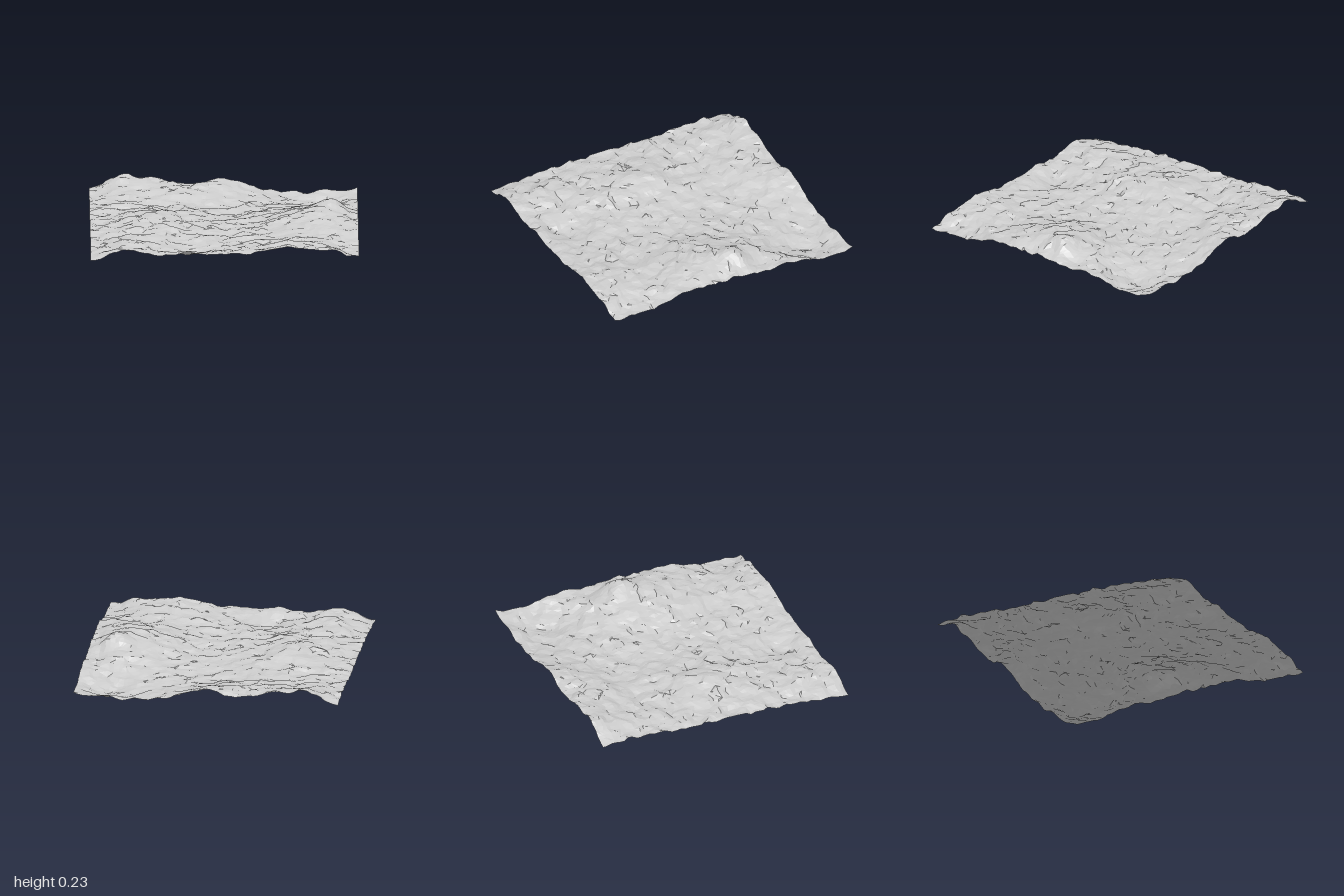
import * as THREE from 'three';

// Broad relief in hundredths of a unit: rows run back to front, columns along +x
const RELIEF = [
  [9, 19, 17, 13, 17, 10, 6, 7, 8],
  [11, 14, 13, 14, 10, 7, 4, 1, 6],
  [9, 10, 9, 8, 6, 7, 7, 7, 11],
  [9, 10, 11, 9, 7, 7, 10, 15, 10],
  [8, 11, 15, 9, 7, 8, 14, 20, 12],
  [8, 11, 13, 9, 7, 8, 13, 17, 12],
  [6, 9, 9, 7, 7, 8, 9, 11, 11],
  [5, 10, 7, 2, 6, 8, 11, 9, 5],
  [3, 9, 6, 8, 7, 8, 12, 11, 5],
];
const SEGMENTS = 60;

// Smooth curve through evenly spaced values, t from 0 to 8
function spline(values, t) {
  const i = Math.min(Math.floor(t), 7), f = t - i;
  const at = (k) => values[Math.max(0, Math.min(8, k))];
  const [a, b, c, d] = [at(i - 1), at(i), at(i + 1), at(i + 2)];
  return b + 0.5 * f * (c - a + f * (2 * a - 5 * b + 4 * c - d + f * (3 * (b - c) + d - a)));
}

// Seeded value noise from -1 to 1
function hash(i, j) {
  let h = (Math.imul(i, 374761393) + Math.imul(j, 668265263)) | 0;
  h = Math.imul(h ^ (h >>> 13), 1274126177);
  return ((h ^ (h >>> 16)) >>> 0) / 2147483648 - 1;
}
function noise(x, z) {
  const i = Math.floor(x), j = Math.floor(z);
  const u = THREE.MathUtils.smoothstep(x - i, 0, 1);
  const v = THREE.MathUtils.smoothstep(z - j, 0, 1);
  const { lerp } = THREE.MathUtils;
  return lerp(lerp(hash(i, j), hash(i + 1, j), u), lerp(hash(i, j + 1), hash(i + 1, j + 1), u), v);
}

function heightAt(x, z) {
  const broad = spline(RELIEF.map((row) => spline(row, (x + 1) * 4)), (z + 1) * 4) / 100;
  // Sharp summit on the highest hill
  const summit = 0.055 * Math.exp(-((x - 0.83) ** 2 + (z + 0.1) ** 2) / 0.008);
  // Rocky detail, with ridges slightly longer along x
  const crags = 0.014 * noise(x * 11 + 5, z * 14 + 43) + 0.011 * noise(x * 21 + 71, z * 24 + 9);
  return broad + summit + crags;
}

export function createModel() {
  const group = new THREE.Group();
  group.name = 'terrain';

  // Open square sheet of rugged ground
  const geometry = new THREE.PlaneGeometry(2, 2, SEGMENTS, SEGMENTS);
  geometry.rotateX(-Math.PI / 2);
  const p = geometry.attributes.position;
  const shift = 0.6 / SEGMENTS;
  for (let i = 0; i < p.count; i++) {
    // Scatter the points for irregular facets, keeping the outline square
    let x = p.getX(i), z = p.getZ(i);
    if (Math.abs(x) < 0.999) x += shift * hash(i, 11);
    if (Math.abs(z) < 0.999) z += shift * hash(i, 23);
    p.setXYZ(i, x, heightAt(x, z), z);
  }

  // Split each cell along its flatter diagonal
  const index = geometry.index;
  for (let k = 0; k < index.count; k += 6) {
    const [a, b, d, , c] = index.array.slice(k, k + 6);
    if (Math.abs(p.getY(a) - p.getY(c)) < Math.abs(p.getY(b) - p.getY(d))) {
      index.array.set([a, b, c, a, c, d], k);
    }
  }

  // Rest the lowest hollow on y = 0
  geometry.computeBoundingBox();
  geometry.translate(0, -geometry.boundingBox.min.y, 0);
  geometry.computeVertexNormals();

  const ground = new THREE.Mesh(geometry, new THREE.MeshStandardMaterial({
    color: 0xcccccc, flatShading: true, side: THREE.DoubleSide,
  }));
  ground.name = 'ground';
  group.add(ground);
  return group;
}
